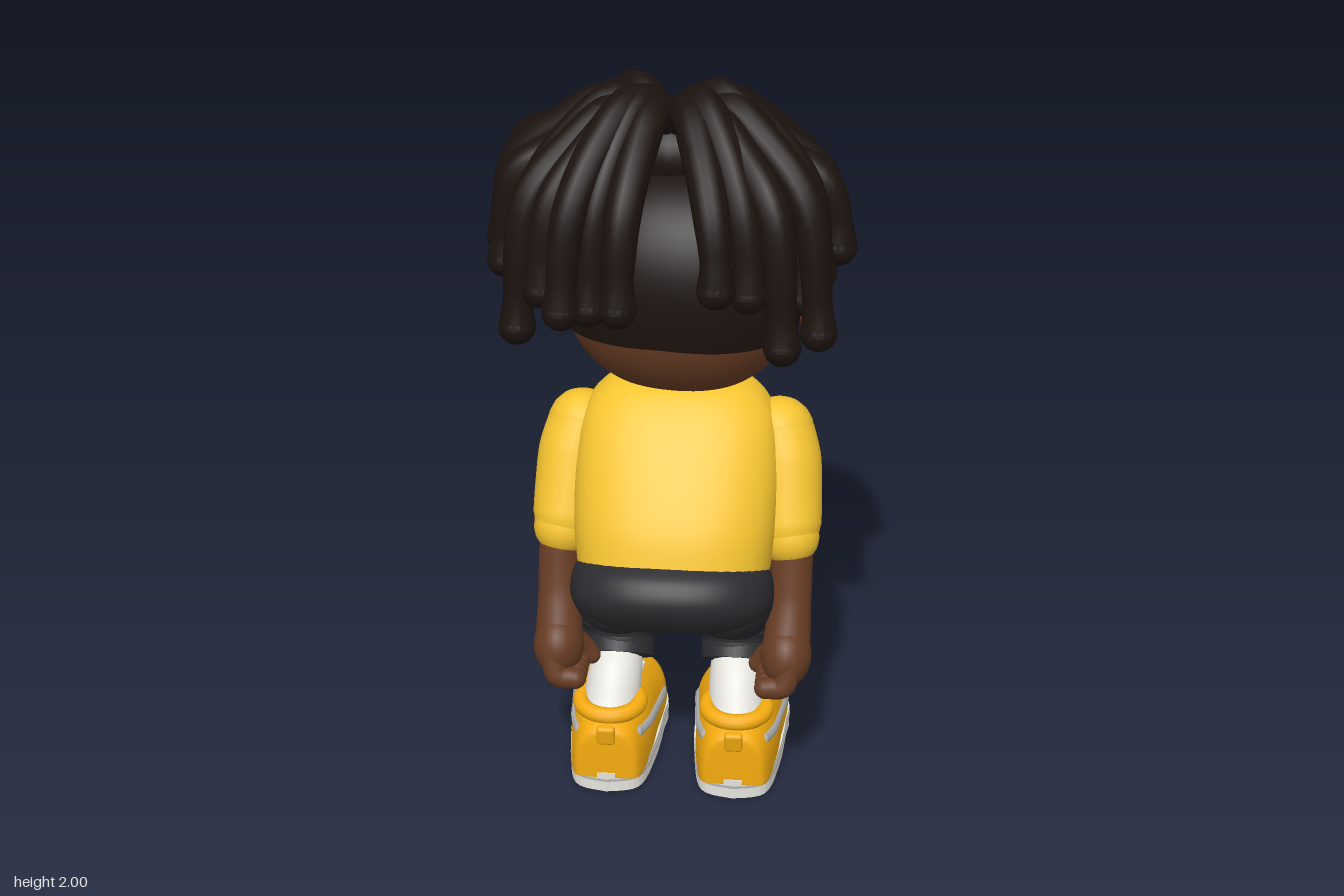
import * as THREE from 'three';
import { mergeVertices, mergeGeometries } from 'three/addons/utils/BufferGeometryUtils.js';
import { RoundedBoxGeometry } from 'three/addons/geometries/RoundedBoxGeometry.js';

const mat = (color) => new THREE.MeshStandardMaterial({ color, side: THREE.DoubleSide });
const M = {
  skin: mat(0x673c24), nose: mat(0x75452a), hair: mat(0x1b120e), shirt: mat(0xf5c430), pants: mat(0x2b2b2f),
  shoe: mat(0xf4ab0f), white: mat(0xe6e4de), grey: mat(0xb4b4b4), black: mat(0x16161a), pink: mat(0xe58a7c),
  lip: mat(0x8f2630),
};
const V = (a) => new THREE.Vector3(...a);

function add(parent, name, geo, material, pos = [0, 0, 0], rot = [0, 0, 0], scale = [1, 1, 1]) {
  const m = new THREE.Mesh(geo, material);
  m.name = name;
  m.position.set(...pos); m.rotation.set(...rot); m.scale.set(...scale);
  parent.add(m);
  return m;
}
function smooth(geo) {
  geo.deleteAttribute('uv'); geo.deleteAttribute('normal');
  const g = mergeVertices(geo, 1e-5);
  g.computeVertexNormals();
  return g;
}
const ball = (w = 28, h = 20) => new THREE.SphereGeometry(1, w, h);

// Linear lookup in rows of [key, value]
function lookup(rows, k, col = 1) {
  for (let i = 1; i < rows.length; i++) {
    const a = rows[i - 1], b = rows[i];
    if ((k - a[0]) * (k - b[0]) <= 0) return a[col] + (b[col] - a[col]) * (k - a[0]) / (b[0] - a[0]);
  }
  return rows[rows.length - 1][col];
}

// Tube with a changing radius and round ends; points are [x, y, z, radius]
function limb(points, steps = 20, sides = 16) {
  const path = new THREE.CatmullRomCurve3(points.map((p) => V(p.slice(0, 3))), false, 'centripetal');
  const g = new THREE.TubeGeometry(path, steps, 1, sides);
  const pos = g.attributes.position, n = points.length - 1, v = new THREE.Vector3();
  for (let i = 0; i < pos.count; i++) {
    const u = Math.floor(i / (sides + 1)) / steps, c = path.getPointAt(u);
    const t = path.getUtoTmapping(u) * n, k = Math.min(Math.floor(t), n - 1);
    const r = points[k][3] + (points[k + 1][3] - points[k][3]) * (t - k);
    v.fromBufferAttribute(pos, i).sub(c).multiplyScalar(r).add(c);
    pos.setXYZ(i, v.x, v.y, v.z);
  }
  const ends = [points[0], points[n]].map((p) => new THREE.SphereGeometry(p[3], sides, 10).translate(p[0], p[1], p[2]));
  return mergeGeometries([g, ...ends].map(smooth));
}

// Skin over rings [y, z, halfWidth, halfDepth, tilt], rounded by exponent n
function loft(rings, n = 2.4, steps = 30, sides = 40, floor = -1) {
  const A = rings.map((r) => V([r[0], r[1], r[4]])), B = rings.map((r) => V([r[2], r[3], 0]));
  const ca = new THREE.CatmullRomCurve3(A), cb = new THREE.CatmullRomCurve3(B);
  ca.curveType = cb.curveType = 'catmullrom';
  const pos = [], idx = [], pw = (c) => Math.sign(c) * Math.abs(c) ** (2 / n);
  for (let j = -1; j <= steps + 1; j++) {
    const u = Math.min(Math.max(j / steps, 0), 1), a = ca.getPoint(u), b = cb.getPoint(u);
    if (j < 0 || j > steps) b.set(0, 0, 0);
    for (let i = 0; i < sides; i++) {
      const th = i / sides * Math.PI * 2, d = b.y * pw(Math.sin(th));
      pos.push(b.x * pw(Math.cos(th)), Math.max(floor, a.x + d * Math.sin(a.z)), a.y + d * Math.cos(a.z));
      if (j > steps) continue;
      const p = (j + 1) * sides + i, q = (j + 1) * sides + (i + 1) % sides;
      idx.push(p, p + sides, q, q, p + sides, q + sides);
    }
  }
  const g = new THREE.BufferGeometry();
  g.setAttribute('position', new THREE.Float32BufferAttribute(pos, 3));
  g.setIndex(idx);
  g.computeVertexNormals();
  return g;
}

// Head: a slightly boxy ellipsoid, front towards -z
const R = [0.33, 0.325, 0.305], N = 2.25;
function headPoint(d, grow = 1) {
  const k = grow / (d.reduce((s, c) => s + Math.abs(c) ** N, 0) ** (1 / N));
  return d.map((c, i) => c * k * R[i]);
}
function buildHead() {
  const head = new THREE.Group();
  head.name = 'head';
  head.position.set(0.03, 1.42, -0.105);
  head.rotation.y = -0.12;
  const skull = ball(56, 40), sp = skull.attributes.position;
  for (let i = 0; i < sp.count; i++) sp.setXYZ(i, ...headPoint([sp.getX(i), sp.getY(i), sp.getZ(i)]));
  add(head, 'skull', smooth(skull), M.skin);

  // Scalp cap cut along a hairline: [degrees from the face, height]
  const line = [[0, 0.22], [30, 0.215], [55, 0.16], [68, 0.09], [71, -0.03], [84, -0.15], [93, -0.11], [181, -0.095]];
  const cap = new THREE.SphereGeometry(1, 120, 24, 0, Math.PI * 2, 0, 3);
  const cp = cap.attributes.position, uv = cap.attributes.uv;
  for (let i = 0; i < cp.count; i++) {
    const a = uv.getX(i) * Math.PI * 2, z = Math.sin(a), x = -Math.cos(a);
    const yh = lookup(line, THREE.MathUtils.radToDeg(Math.acos(THREE.MathUtils.clamp(-z, -1, 1))));
    const ph = (1 - uv.getY(i)) * Math.acos(yh / R[1]), s = Math.sin(ph);
    cp.setXYZ(i, ...headPoint([s * x, Math.cos(ph), s * z], 1.035));
  }
  add(head, 'scalp', smooth(cap), M.hair);

  // Face parts sit on the surface and look along its normal
  const onFace = (name, x, y, material, scale, roll = 0, lift = 0) => {
    const z = -R[2] * (1 - Math.abs(x / R[0]) ** N - Math.abs(y / R[1]) ** N) ** (1 / N);
    const n = V([x, y, z].map((c, i) => Math.sign(c) * Math.abs(c / R[i]) ** (N - 1) / R[i])).normalize();
    const m = add(head, name, ball(), material, [x, y, z], [0, 0, 0], scale);
    m.position.addScaledVector(n, lift);
    head.remove(m);
    m.lookAt(m.position.clone().add(n));
    m.rotateZ(roll);
    head.add(m);
  };
  for (const s of [-1, 1]) {
    onFace('eye', s * 0.137, -0.03, M.black, [0.042, 0.075, 0.014]);
    onFace('eyeHighlight', s * 0.137 + 0.012, 0.005, M.white, [0.014, 0.022, 0.008], 0, 0.011);
    onFace('eyebrow', s * 0.13, 0.085, M.hair, [0.048, 0.016, 0.016], s * 0.25);
    onFace('cheek', s * 0.205, -0.115, M.pink, [0.014, 0.028, 0.05], s * 0.3);
    add(head, 'ear', ball(), M.skin, [s * 0.325, -0.01, 0.012], [0, s * 0.3, 0], [0.038, 0.11, 0.06]);
  }
  onFace('nose', 0, -0.1, M.nose, [0.04, 0.034, 0.032]);
  onFace('mouth', 0, -0.205, M.lip, [0.066, 0.036, 0.022]);
  onFace('lowerLip', 0, -0.222, M.lip, [0.045, 0.018, 0.03]);
  onFace('teeth', 0, -0.19, M.white, [0.05, 0.01, 0.026]);
  return head;
}

// Locks rise from the crown and fall to these tips
const TIPS = [
  [-0.455, 1.56, -0.285], [-0.41, 1.6, -0.2], [-0.46, 1.5, -0.12], [-0.44, 1.48, 0], [-0.35, 1.6, -0.405],
  [-0.28, 1.62, -0.4], [-0.38, 1.38, 0.21], [-0.37, 1.45, 0.09], [-0.25, 1.47, 0.31], [-0.31, 1.5, 0.24],
  [-0.1, 1.49, 0.33], [-0.18, 1.47, 0.28], [-0.38, 1.58, -0.33], [0.15, 1.55, 0.32], [0.23, 1.52, 0.27],
  [0.32, 1.38, 0.28], [0.41, 1.39, 0.2], [0.36, 1.45, 0.11], [0.45, 1.55, 0], [0.43, 1.56, -0.1],
  [0.4, 1.58, -0.17], [0.28, 1.56, -0.24], [0.4, 1.5, 0.06],
];
function buildLocks() {
  const locks = new THREE.Group();
  locks.name = 'hairLocks';
  const root = [0, 1.83, -0.1];
  TIPS.forEach(([x, y, z], i) => {
    const peak = (z > 0 ? 1.93 : 1.88) + 0.018 * (i % 3 - 1);
    const at = (f, h, r) => [root[0] + (x - root[0]) * f, h, root[2] + (z - root[2]) * f, r];
    add(locks, 'hairLock', limb([
      [...root, 0.04], at(0.36, peak, 0.05), at(0.64, peak - 0.07, 0.05), at(0.9, 1.73, 0.048),
      at(0.99, y + 0.07, 0.039), [x, y, z, 0.05],
    ], 28, 14), M.hair);
  });
  add(locks, 'crown', ball(), M.hair, [0, 1.77, -0.12], [0, 0, 0], [0.15, 0.11, 0.14]);
  return locks;
}

// Shoe upper rows: [z, halfWidth, top]
const UPPER = [[0.325, 0.05, 0.17], [0.31, 0.092, 0.21], [0.2, 0.115, 0.235], [0.09, 0.122, 0.245], [0, 0.13, 0.22],
  [-0.08, 0.132, 0.195], [-0.15, 0.115, 0.178], [-0.182, 0.085, 0.155]];
function buildShoe(s) {
  const shoe = new THREE.Group();
  shoe.name = s > 0 ? 'leftShoe' : 'rightShoe';
  shoe.position.x = s * 0.178;
  const half = [[0.09, -0.295], [0.122, -0.15], [0.132, 0], [0.136, 0.08], [0.1, 0.16]];
  const outline = [[0, -0.33], ...half, [0, 0.192], ...half.map(([x, y]) => [-x, y]).reverse()];
  const foot = new THREE.Shape(new THREE.SplineCurve([...outline, outline[0]].map((p) => new THREE.Vector2(...p))).getPoints(72));
  const slab = (name, y, h, k, m) => add(shoe, name,
    new THREE.ExtrudeGeometry(foot, { depth: h, bevelEnabled: false }).rotateX(-Math.PI / 2), m, [0, y, 0], [0, 0, 0], [k, 1, k]);
  slab('outsole', 0, 0.012, 0.95, M.black);
  slab('midsole', 0.006, 0.06, 1, M.white);
  slab('soleLine', 0.04, 0.007, 1.01, M.grey);
  add(shoe, 'upper', loft(UPPER.map(([z, w, h]) => [0.06, z, w, h - 0.06, Math.PI / 2]), 2.7, 36, 48, 0.05), M.shoe);
  add(shoe, 'collar', new THREE.TorusGeometry(0.082, 0.024, 12, 32).rotateX(Math.PI / 2), M.shoe, [0, 0.232, 0.205], [0.05, 0, 0], [1, 1, 0.95]);
  add(shoe, 'tongue', new RoundedBoxGeometry(0.1, 0.035, 0.1, 3, 0.016), M.shoe, [0, 0.25, 0.085], [-0.45, 0, 0]);
  add(shoe, 'heelTab', new RoundedBoxGeometry(0.052, 0.06, 0.025, 3, 0.01), M.shoe, [0, 0.19, 0.322], [0.15, 0, 0]);
  // Laces cross the instep
  for (let i = 0; i < 4; i++) {
    const z = 0.075 - i * 0.035, top = lookup(UPPER, z, 2) + 0.005;
    for (const d of [-1, 1]) {
      add(shoe, 'lace', limb([[-0.065, top - 0.012, z - d * 0.012, 0.008], [0, top + 0.004, z, 0.008],
        [0.065, top - 0.012, z + d * 0.012, 0.008]], 8, 8), M.white);
    }
  }
  // Plain side bands
  for (const d of [-1, 1]) {
    const pts = [[0.26, 0.165], [0.18, 0.15], [0.09, 0.135], [0, 0.12], [-0.04, 0.11]].map(([z, y]) => {
      const w = lookup(UPPER, z), h = lookup(UPPER, z, 2) - 0.06;
      return [d * (w * (1 - ((y - 0.06) / h) ** 2.7) ** (1 / 2.7) - 0.012), y, z, 0.02];
    });
    add(shoe, 'sideBand', limb(pts, 16, 10), M.grey);
  }
  return shoe;
}

function buildSide(s) {
  const side = new THREE.Group();
  side.name = s > 0 ? 'leftLimbs' : 'rightLimbs';
  const part = (name, pts, m) => add(side, name, limb(pts.map(([x, ...r]) => [s * x, ...r]), 24, 24), m);
  // Arm and hand
  part('sleeve', [[0.272, 1.0, -0.002, 0.096], [0.29, 0.93, 0.035, 0.1], [0.302, 0.82, 0.09, 0.095],
    [0.308, 0.765, 0.12, 0.09], [0.312, 0.745, 0.13, 0.082]], M.shirt);
  part('forearm', [[0.32, 0.72, 0.14, 0.058], [0.32, 0.57, 0.185, 0.058], [0.315, 0.46, 0.235, 0.066]], M.skin);
  add(side, 'palm', ball(), M.skin, [s * 0.315, 0.435, 0.245], [-0.4, 0, 0], [0.07, 0.09, 0.086]);
  for (let i = 0; i < 4; i++) {
    const z = 0.215 + i * 0.028;
    part('finger', [[0.325, 0.43, z, 0.032], [0.31, 0.375, z + 0.012, 0.034], [0.262, 0.365, z + 0.012, 0.03]], M.skin);
  }
  part('thumb', [[0.29, 0.43, 0.2, 0.036], [0.255, 0.39, 0.18, 0.03], [0.235, 0.36, 0.175, 0.027]], M.skin);
  // Crouched leg and sock
  part('thigh', [[0.15, 0.63, 0.27, 0.12], [0.16, 0.55, 0.13, 0.126], [0.165, 0.45, -0.018, 0.122]], M.pants);
  part('shin', [[0.165, 0.45, 0.03, 0.12], [0.165, 0.39, 0.045, 0.115], [0.165, 0.36, 0.06, 0.094]], M.pants);
  add(side, 'trouserCuff', new THREE.CylinderGeometry(0.1, 0.1, 0.09, 32), M.pants, [s * 0.167, 0.345, 0.058], [-0.64, 0, 0]);
  part('sock', [[0.167, 0.325, 0.08, 0.07], [0.172, 0.28, 0.14, 0.076], [0.178, 0.2, 0.2, 0.08]], M.white);
  return side;
}

export function createModel() {
  const model = new THREE.Group();
  model.name = 'crouchingFigure';
  const body = new THREE.Group();
  body.name = 'body';
  body.position.x = 0.033;
  // Torso leaning forward
  add(body, 'shirt', loft([[0.665, 0.2, 0.262, 0.2, 0.39], [0.79, 0.148, 0.277, 0.202, 0.3], [0.94, 0.072, 0.28, 0.186, 0.2],
    [1.065, 0.015, 0.26, 0.16, 0.06], [1.135, -0.01, 0.2, 0.118, 0], [1.16, -0.015, 0.12, 0.065, 0]], 2.4), M.shirt);
  add(body, 'hips', loft([[0.51, 0.27, 0.1, 0.06, 0.39], [0.535, 0.28, 0.215, 0.135, 0.39], [0.595, 0.265, 0.27, 0.202, 0.39],
    [0.66, 0.232, 0.275, 0.205, 0.39], [0.71, 0.2, 0.245, 0.165, 0.39]], 2.3), M.pants);
  add(body, 'neck', new THREE.CylinderGeometry(0.09, 0.1, 0.12, 32), M.skin, [0, 1.13, -0.03]);
  for (const s of [-1, 1]) body.add(buildSide(s), buildShoe(s));
  model.add(body, buildHead(), buildLocks());
  return model;
}
